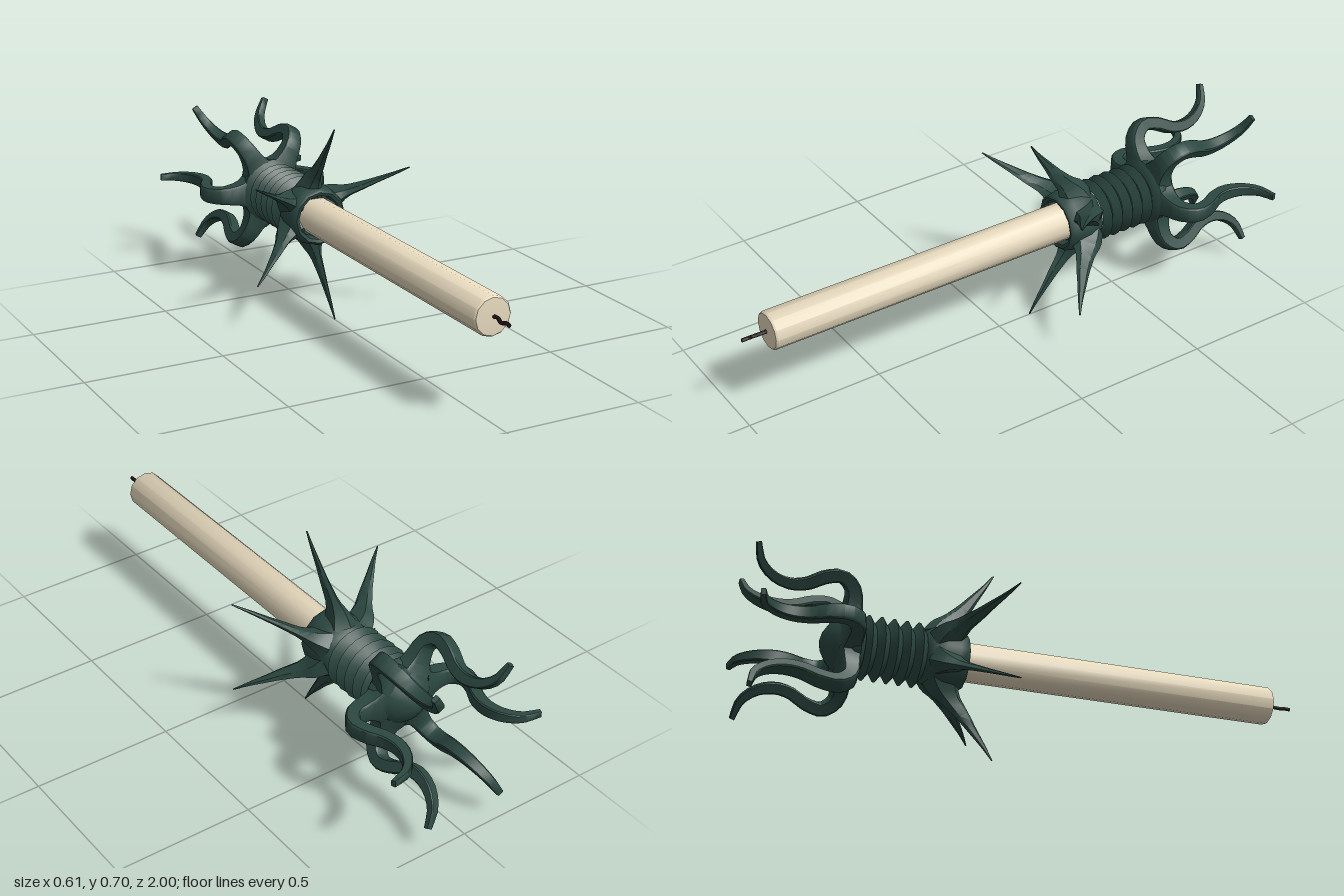
import * as THREE from 'three';
import { toCreasedNormals } from 'three/addons/utils/BufferGeometryUtils.js';

const AXIS_Y = 0.353;
const iron = new THREE.MeshStandardMaterial({ color: 0x2c4841 });
const wax = new THREE.MeshStandardMaterial({ color: 0xe6d9bd });
const char = new THREE.MeshStandardMaterial({ color: 0x1c1412 });

// Lathe around the z axis; profile is [radius, z] from back to front
function turned(name, profile, sides, material, crease = 0.7) {
  const pts = profile.map(([r, z]) => new THREE.Vector2(r, z));
  const geo = new THREE.LatheGeometry(pts, sides).rotateX(Math.PI / 2);
  const mesh = new THREE.Mesh(toCreasedNormals(geo, crease), material);
  mesh.name = name;
  return mesh;
}

// Sweep a cross-section along stations [radius, z, thickness, width] in the radial plane
function swept(name, stations, steps, section) {
  const path = new THREE.CatmullRomCurve3(stations.map(([r, z]) => new THREE.Vector3(r, 0, z)));
  const size = new THREE.CatmullRomCurve3(stations.map(([, , t, w]) => new THREE.Vector3(t, w, 0)));
  const n = section.length, pos = [], idx = [];
  for (let i = 0; i <= steps; i++) {
    const p = path.getPoint(i / steps), t = path.getTangent(i / steps), s = size.getPoint(i / steps);
    for (const [u, v] of section) {
      pos.push(p.x + t.z * u * s.x / 2, v * s.y / 2, p.z - t.x * u * s.x / 2);
    }
  }
  for (let i = 0; i < steps; i++) {
    for (let j = 0; j < n; j++) {
      const a = i * n + j, b = i * n + (j + 1) % n;
      idx.push(a, b, a + n, b, b + n, a + n);
    }
  }
  for (let j = 1; j < n - 1; j++) {
    const e = steps * n;
    idx.push(0, j + 1, j, e, e + j, e + j + 1);
  }
  const geo = new THREE.BufferGeometry();
  geo.setAttribute('position', new THREE.Float32BufferAttribute(pos, 3));
  geo.setIndex(idx);
  const mesh = new THREE.Mesh(toCreasedNormals(geo, 0.7), iron);
  mesh.name = name;
  return mesh;
}

// Six copies around the z axis
function ringOfSix(name, part, start) {
  const ring = new THREE.Group();
  ring.name = name;
  for (let i = 0; i < 6; i++) {
    const copy = part.clone();
    copy.rotation.z = start + i * Math.PI / 3;
    ring.add(copy);
  }
  return ring;
}

export function createModel() {
  const model = new THREE.Group();
  const body = new THREE.Group();
  body.name = 'candleHolder';
  body.position.y = AXIS_Y;
  model.add(body);

  // Candle with a softened tip
  body.add(turned('candle', [[0, -0.32], [0.068, -0.32], [0.068, 0.902], [0.063, 0.908], [0, 0.912]], 12, wax));

  // Crooked wick
  const wickPath = new THREE.CatmullRomCurve3([
    [0, 0, 0.9], [0.003, 0.002, 0.93], [-0.004, -0.003, 0.96], [0.002, 0.002, 0.98], [0, 0, 1],
  ].map((p) => new THREE.Vector3(...p)));
  const wick = new THREE.Mesh(new THREE.TubeGeometry(wickPath, 12, 0.007, 6), char);
  wick.name = 'wick';
  body.add(wick);
  const wickTip = new THREE.Mesh(new THREE.CircleGeometry(0.007, 6), char);
  wickTip.name = 'wickTip';
  wickTip.position.z = 1;
  body.add(wickTip);

  // Socket cup with a recessed opening
  body.add(turned('socketCup', [
    [0.07, -0.388], [0.09, -0.38], [0.104, -0.355], [0.111, -0.32], [0.11, -0.275],
    [0.103, -0.245], [0.095, -0.238], [0.083, -0.242], [0.077, -0.275], [0, -0.28],
  ], 12, iron, 0.8));

  // Ribbed neck
  const ribs = [], ribCount = 5, neckBack = -0.605, pitch = 0.044;
  for (let i = 0; i < ribCount; i++) {
    ribs.push([0.084, neckBack + i * pitch], [0.113, neckBack + (i + 0.5) * pitch]);
  }
  ribs.push([0.084, neckBack + ribCount * pitch]);
  body.add(turned('ribbedNeck', ribs, 20, iron));

  // Domed hub at the back
  body.add(turned('rearHub', [
    [0, -0.742], [0.035, -0.732], [0.07, -0.71], [0.1, -0.678],
    [0.12, -0.642], [0.122, -0.62], [0.105, -0.604], [0, -0.6],
  ], 18, iron, 0.8));

  // Thorns sweeping forward from the cup
  const thorn = swept('thorn', [
    [0.07, -0.325, 0.13, 0.1], [0.11, -0.303, 0.115, 0.06], [0.15, -0.276, 0.07, 0.028],
    [0.2, -0.236, 0.05, 0.019], [0.25, -0.2, 0.033, 0.013], [0.3, -0.163, 0.018, 0.009],
    [0.35, -0.13, 0.005, 0.004],
  ], 14, [[1, 0], [0.55, 1], [-0.55, 1], [-1, 0], [-0.55, -1], [0.55, -1]]);
  body.add(ringOfSix('thorns', thorn, Math.PI / 6));

  // Curling tentacles sweeping back from the hub
  const tentacle = swept('tentacle', [
    [0.08, -0.652, 0.075, 0.14], [0.13, -0.648, 0.06, 0.078], [0.19, -0.655, 0.05, 0.06],
    [0.226, -0.697, 0.046, 0.055], [0.215, -0.755, 0.044, 0.052], [0.186, -0.81, 0.042, 0.048],
    [0.176, -0.865, 0.04, 0.044], [0.192, -0.925, 0.034, 0.038], [0.234, -0.972, 0.027, 0.031],
    [0.298, -0.991, 0.017, 0.023],
  ], 22, [[1, 0.8], [0.8, 1], [-0.8, 1], [-1, 0.8], [-1, -0.8], [-0.8, -1], [0.8, -1], [1, -0.8]]);
  body.add(ringOfSix('tentacles', tentacle, 0));

  return model;
}
